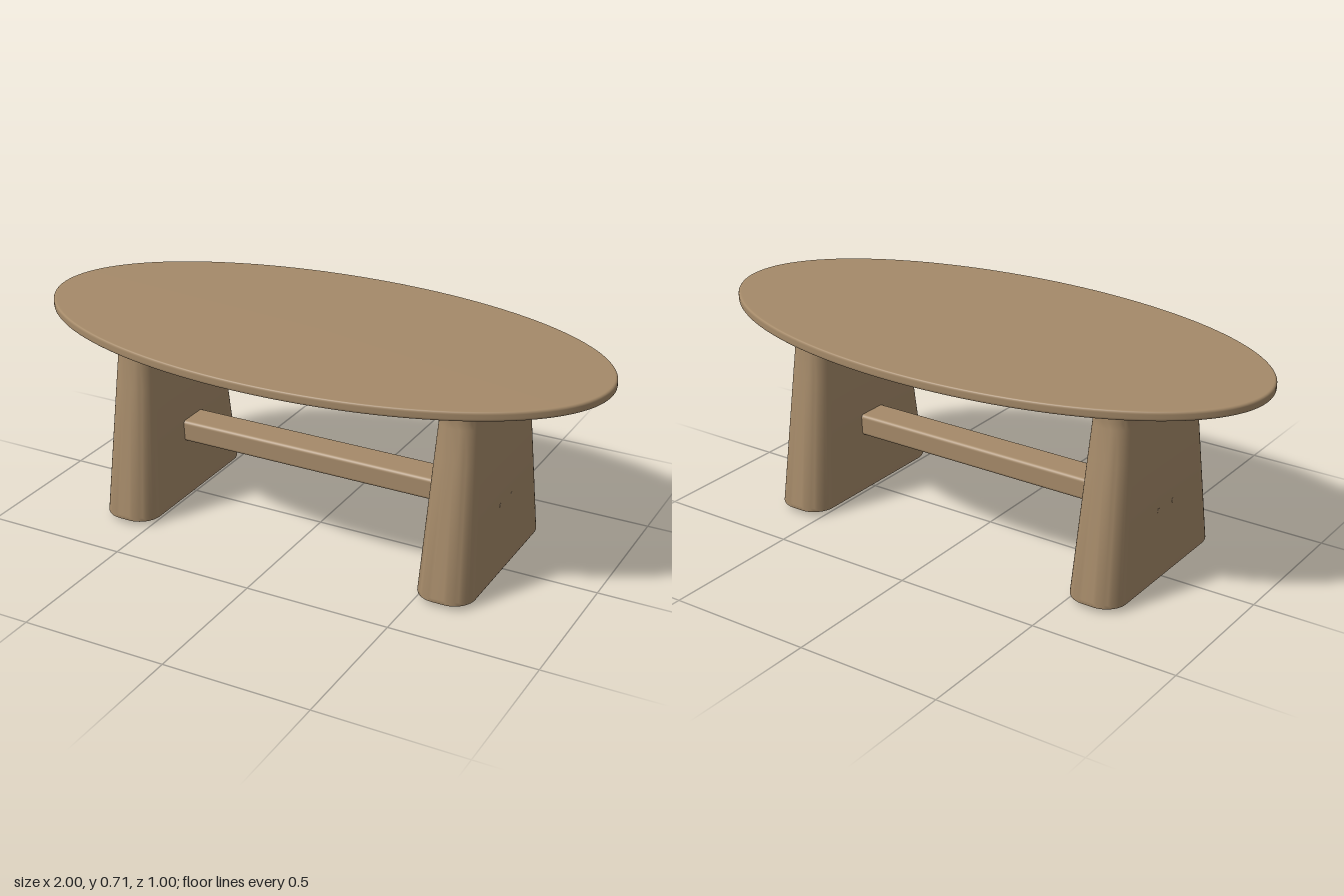
import * as THREE from 'three';
import { toCreasedNormals } from 'three/addons/utils/BufferGeometryUtils.js';
import { RoundedBoxGeometry } from 'three/addons/geometries/RoundedBoxGeometry.js';

const wood = new THREE.MeshStandardMaterial({ color: 0xa58a69 });
wood.name = 'wood';
const black = new THREE.MeshStandardMaterial({ color: 0x1c1d1f });
black.name = 'black metal';

function add(parent, name, geometry, material, x = 0, y = 0, z = 0) {
  const mesh = new THREE.Mesh(geometry, material);
  mesh.name = name;
  mesh.position.set(x, y, z);
  parent.add(mesh);
  return mesh;
}

// Elliptical top: a round lathe with softened rim, squashed in z
function topGeometry(bottom, top, r) {
  const pts = [new THREE.Vector2(0, bottom), new THREE.Vector2(0.985, bottom)];
  for (const [cy, start] of [[bottom + r, -90], [top - r, 0]]) {
    for (let i = 0; i <= 5; i++) {
      const a = THREE.MathUtils.degToRad(start + i * 18);
      pts.push(new THREE.Vector2(1 - r + Math.cos(a) * r, cy + Math.sin(a) * r));
    }
  }
  pts.push(new THREE.Vector2(0.985, top), new THREE.Vector2(0, top));
  return new THREE.LatheGeometry(pts, 128).scale(1, 1, 0.5);
}

// Ring of a rounded rectangle, counter-clockwise from above
function ring(y, hx, hz, r, steps = 10) {
  const out = [];
  const corners = [[1, 1], [1, -1], [-1, -1], [-1, 1]];
  corners.forEach(([sx, sz], c) => {
    for (let i = 0; i <= steps; i++) {
      const a = Math.PI / 2 * (1 - c - i / steps);
      out.push([sx * (hx - r) + Math.cos(a) * r, y, sz * (hz - r) + Math.sin(a) * r]);
    }
  });
  return out;
}

// Tapered leg lofted through rounded rectangles: y, half width, half depth, corner radius
function legGeometry() {
  const rings = [
    [0.014, 0.092, 0.319, 0.072],
    [0.016, 0.0955, 0.3235, 0.075],
    [0.021, 0.0975, 0.3255, 0.077],
    [0.03, 0.097, 0.3245, 0.077],
    [0.48, 0.075, 0.264, 0.063],
    [0.59, 0.0695, 0.2485, 0.059],
    [0.61, 0.069, 0.247, 0.059],
    [0.672, 0.07, 0.252, 0.06],
  ].map((s) => ring(...s));
  const n = rings[0].length;
  const pos = rings.flat(2);
  const index = [];
  for (let k = 0; k < rings.length - 1; k++) {
    for (let i = 0; i < n; i++) {
      const a = k * n + i, b = k * n + (i + 1) % n;
      index.push(a, b, a + n, b, b + n, a + n);
    }
  }
  const last = (rings.length - 1) * n;
  for (let i = 1; i < n - 1; i++) {
    index.push(0, i + 1, i, last, last + i, last + i + 1);
  }
  const g = new THREE.BufferGeometry();
  g.setAttribute('position', new THREE.Float32BufferAttribute(pos, 3));
  g.setIndex(index);
  return toCreasedNormals(g, 0.6);
}

export function createModel() {
  const table = new THREE.Group();
  table.name = 'table';
  add(table, 'tableTop', topGeometry(0.684, 0.715, 0.009), wood);

  // Rails joining the two legs
  add(table, 'stretcher', new RoundedBoxGeometry(1.04, 0.076, 0.12, 3, 0.012), wood, 0, 0.258, 0);
  add(table, 'upperRail', new RoundedBoxGeometry(1.08, 0.036, 0.11, 3, 0.005), wood, 0, 0.656, 0);

  const leg = legGeometry();
  for (const side of [1, -1]) {
    const group = new THREE.Group();
    group.name = side > 0 ? 'leftLeg' : 'rightLeg';
    group.position.x = side * 0.588;
    table.add(group);
    add(group, 'legPanel', leg, wood);
    add(group, 'mountingPlate', new THREE.BoxGeometry(0.22, 0.008, 0.56), black, 0, 0.676, 0);
    for (const z of [1, -1]) {
      add(group, 'foot', new THREE.CylinderGeometry(0.035, 0.035, 0.016, 32), black, 0, 0.008, z * 0.234);
      // Plug on the outer face, tilted with the taper
      const plug = add(group, 'plug', new THREE.CylinderGeometry(0.008, 0.008, 0.004, 20), wood, side * 0.0852, 0.255, z * 0.046);
      plug.rotation.z = -side * (Math.PI / 2 - 0.049);
    }
  }
  return table;
}
